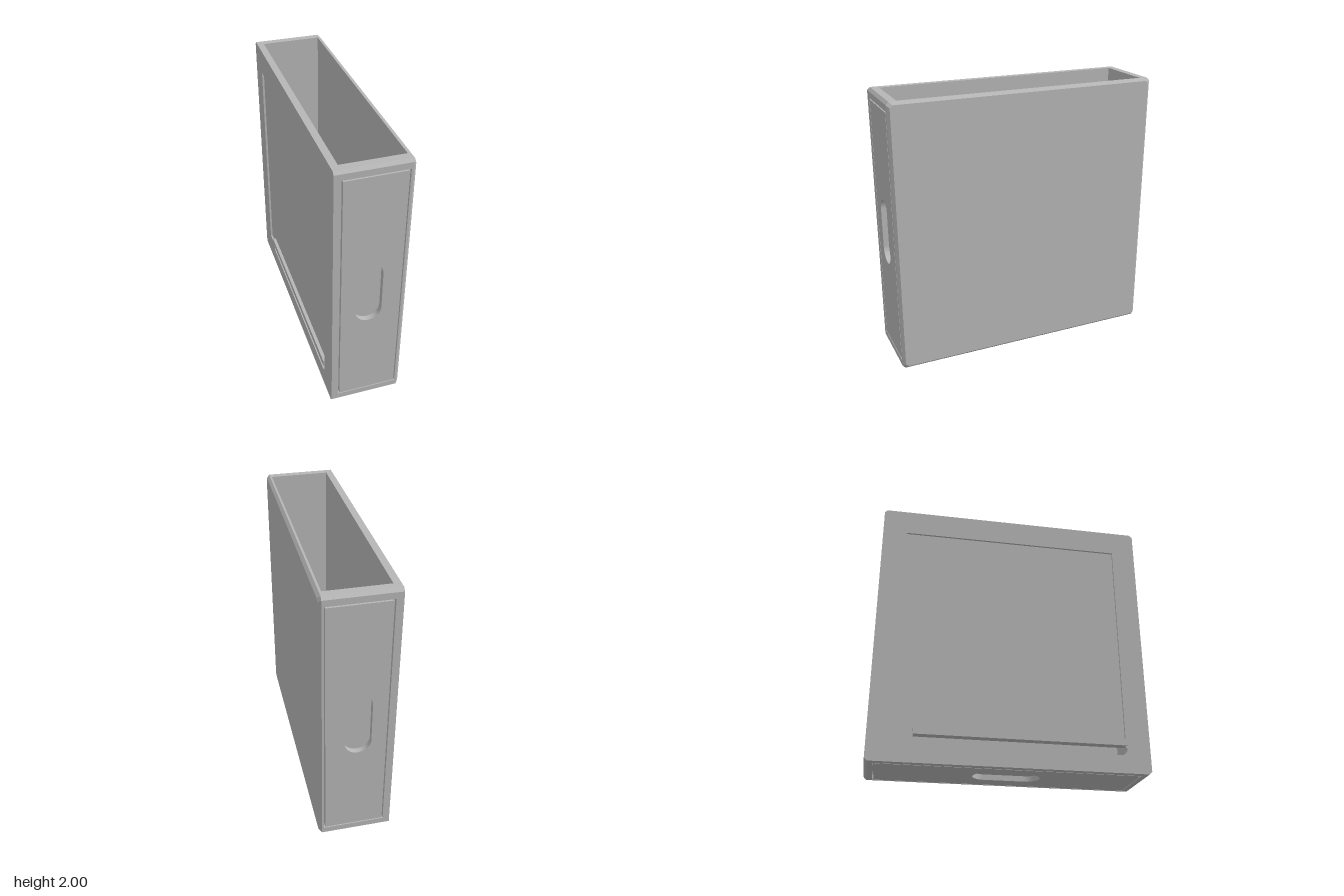
import * as THREE from 'three';

const C = 0.02; // edge chamfer

// Extrude a profile (u = -z, v = y) along x from x0 to x1
function alongX(shape, x0, x1) {
  const g = new THREE.ExtrudeGeometry(shape, { depth: x1 - x0, bevelEnabled: false, curveSegments: 12 });
  return g.rotateY(Math.PI / 2).translate(x0, 0, 0);
}

const polygon = (pts) => new THREE.Shape(pts.map(([u, v]) => new THREE.Vector2(u, v)));

// Square outline with cut corners, pulled in by d
function outline(d = 0) {
  const a = 1 - d, b = 1 - C - d;
  return [[-b, -a], [b, -a], [a, -b], [a, b], [b, a], [-b, a], [-a, b], [-a, -b]].map(([u, v]) => [u, v + 1]);
}

// Upright slot with round ends
function slotPath(cx, cy, halfLength, r) {
  const p = new THREE.Path();
  p.absarc(cx, cy + halfLength - r, r, 0, Math.PI, false);
  p.absarc(cx, cy - halfLength + r, r, Math.PI, 2 * Math.PI, false);
  p.closePath();
  return p;
}

// Flat plate joined to a chamfered outer face
function sidePlateGeometry(x0, x1, x2) {
  const rings = [[x0, 0], [x1, 0], [x2, C]].map(([x, d]) => outline(d).map(([u, v]) => new THREE.Vector3(x, v, -u)));
  const pts = [];
  const n = 8;
  for (let i = 0; i < n; i++) {
    const j = (i + 1) % n;
    for (let k = 0; k < 2; k++) {
      const a = rings[k][i], b = rings[k][j], c = rings[k + 1][j], d = rings[k + 1][i];
      pts.push(a, b, c, a, c, d);
    }
    if (i > 0 && i < n - 1) {
      pts.push(rings[2][0], rings[2][i], rings[2][j]);
      pts.push(rings[0][0], rings[0][j], rings[0][i]);
    }
  }
  const g = new THREE.BufferGeometry().setFromPoints(pts);
  g.computeVertexNormals();
  return g;
}

export function createModel() {
  const group = new THREE.Group();
  const grey = new THREE.MeshStandardMaterial({ color: 0xb6b6b6 });
  grey.name = 'grey plastic';
  const add = (name, geometry) => {
    const m = new THREE.Mesh(geometry, grey);
    m.name = name;
    group.add(m);
    return m;
  };

  // Plain side with chamfered rim
  add('leftSide', sidePlateGeometry(0.23, 0.245, 0.265));

  // U-shaped shell, open at the top, with pockets for the three edge panels
  const half = [[0.94, 0.04], [0.94, 0], [1 - C, 0], [1, C], [1, 0.065], [0.96, 0.065],
    [0.96, 1.935], [1, 1.935], [1, 2 - C], [1 - C, 2], [0.925, 2], [0.925, 0.075]];
  const mirrored = half.map(([u, v]) => [-u, v]).reverse();
  add('shell', alongX(polygon([...half, ...mirrored]), -0.21, 0.23));

  // Opposite side: inner layer with a long slot, outer layer with a recessed field
  const u0 = -0.83, u1 = 0.69, r = 0.05, sy = 0.18;
  const inner = polygon(outline());
  const longSlot = new THREE.Path();
  longSlot.absarc(u1 - r, sy, r, -Math.PI / 2, Math.PI / 2, false);
  longSlot.absarc(u0 + r, sy, r, Math.PI / 2, 1.5 * Math.PI, false);
  longSlot.closePath();
  inner.holes.push(longSlot);
  add('rightSideInner', alongX(inner, -0.245, -0.21));

  const outer = polygon(outline());
  const field = new THREE.Path();
  field.moveTo(-0.82, 1.81);
  field.lineTo(-0.82, sy);
  field.absarc(u0 + r, sy, r, Math.PI, 1.5 * Math.PI, false);
  field.absarc(u1 - r, sy, r, 1.5 * Math.PI, 2 * Math.PI, false);
  field.lineTo(u1, 0.19);
  field.lineTo(0.82, 0.19);
  field.lineTo(0.82, 1.81);
  field.closePath();
  outer.holes.push(field);
  add('rightSideOuter', alongX(outer, -0.26, -0.245));

  // Bar above the long slot
  const bar = add('slotBar', new THREE.BoxGeometry(0.065, 0.05, u1 - u0));
  bar.position.set(-0.2375, 0.225, -(u0 + u1) / 2);

  // Inset edge panels with a thumb slot, separated from the shell by a fine groove
  const panelShape = (h) => {
    const s = polygon([[-0.201, -h], [0.222, -h], [0.222, h], [-0.201, h]]);
    s.holes.push(slotPath(-0.003, 0, 0.243, 0.093));
    return s;
  };
  const panel = (h) => new THREE.ExtrudeGeometry(panelShape(h), { depth: 0.04, bevelEnabled: false, curveSegments: 16 });
  add('frontPanel', panel(0.926).translate(0, 1, 0.96));
  add('backPanel', panel(0.926).translate(0, 1, -1));
  add('bottomPanel', panel(0.931).rotateX(Math.PI / 2).translate(0, 0.04, 0));

  return group;
}
